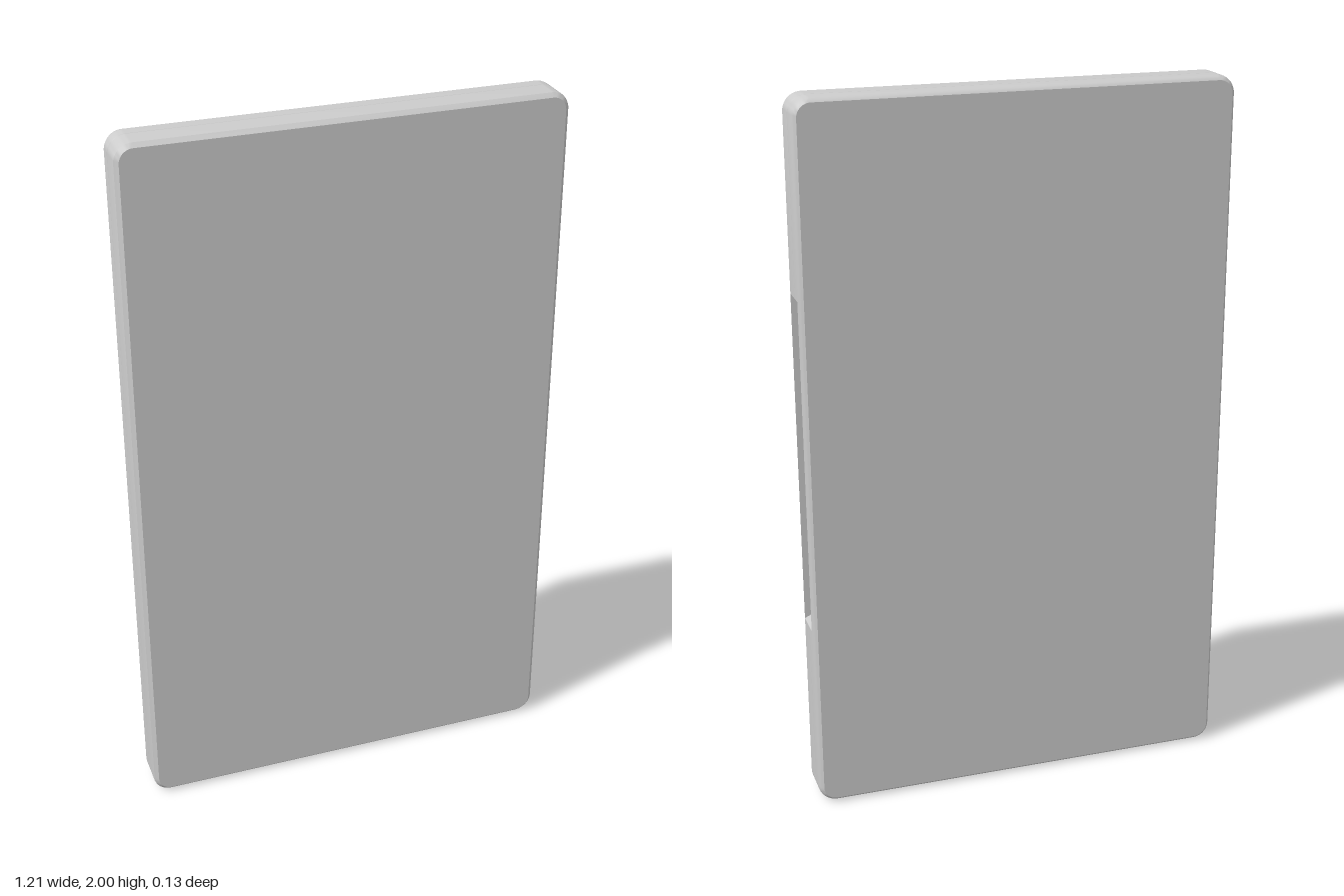
import * as THREE from 'three';
import { toCreasedNormals } from 'three/addons/utils/BufferGeometryUtils.js';

const HALF_W = 0.603, HEIGHT = 2, RADIUS = 0.05, ARC = 10;
const SLOT = { y0: 0.535, y1: 1.475, z0: -0.04, z1: 0.047, depth: 0.045, slope: 0.02 };

// Rounded-rectangle outline, counter-clockwise, shrunk by an inset.
// The two slot corners are added on the +x edge, after the first corner arc.
function outline(inset) {
  const cx = HALF_W - RADIUS, low = RADIUS, high = HEIGHT - RADIUS, r = RADIUS - inset;
  const pts = [];
  [[cx, low], [cx, high], [-cx, high], [-cx, low]].forEach(([x, y], corner) => {
    for (let i = 0; i <= ARC; i++) {
      const a = (corner - 1 + i / ARC) * Math.PI / 2;
      pts.push(new THREE.Vector2(x + r * Math.cos(a), y + r * Math.sin(a)));
    }
    if (corner === 0) {
      for (const sy of [SLOT.y0, SLOT.y1]) pts.push(new THREE.Vector2(HALF_W - inset, sy));
    }
  });
  return pts;
}

function meshFrom(name, positions, index, material, crease) {
  const g = new THREE.BufferGeometry();
  g.setAttribute('position', new THREE.Float32BufferAttribute(positions, 3));
  g.setIndex(index);
  const mesh = new THREE.Mesh(toCreasedNormals(g, crease), material);
  mesh.name = name;
  return mesh;
}

export function createModel() {
  const group = new THREE.Group();
  group.name = 'slab';
  const material = new THREE.MeshStandardMaterial({ color: 0xcccccc });

  // Edge profile from back to front: [z, inset]
  const profile = [
    [-0.065, 0.012], [-0.061, 0.007], [-0.055, 0.0035], [-0.048, 0.001], [SLOT.z0, 0],
    [-0.0115, 0], [-0.01, 0.0015], [-0.0085, 0], // seam between the two shells
    [SLOT.z1, 0], [0.052, 0.001], [0.063, 0.012],
  ];

  // Side shell, leaving the slot opening free
  const pos = [], idx = [];
  const loops = profile.map(([z, inset]) => {
    const pts = outline(inset);
    pts.forEach(p => pos.push(p.x, p.y, z));
    return pts;
  });
  const n = loops[0].length, slotSegment = ARC + 1;
  for (let k = 0; k < profile.length - 1; k++) {
    const inSlot = profile[k][0] >= SLOT.z0 && profile[k + 1][0] <= SLOT.z1;
    for (let i = 0; i < n; i++) {
      if (inSlot && i === slotSegment) continue;
      const j = (i + 1) % n;
      const a = k * n + i, b = k * n + j, c = b + n, d = a + n;
      idx.push(a, b, c, a, c, d);
    }
  }
  group.add(meshFrom('sideShell', pos, idx, material, 0.45));

  // Flat front and back panels
  for (const [name, end] of [['frontPanel', profile.length - 1], ['backPanel', 0]]) {
    const panel = new THREE.Mesh(new THREE.ShapeGeometry(new THREE.Shape(loops[end])), material);
    panel.name = name;
    if (end === 0) panel.rotation.y = Math.PI;
    panel.position.z = profile[end][0];
    group.add(panel);
  }

  // Recessed slot in the +x side, with sloping ends
  const { y0, y1, z0, z1, depth, slope } = SLOT;
  const rim = [[y0, z0], [y1, z0], [y1, z1], [y0, z1]];
  const slotPos = [], slotIdx = [4, 5, 6, 4, 6, 7];
  rim.forEach(([y, z]) => slotPos.push(HALF_W, y, z));
  rim.forEach(([y, z]) => slotPos.push(HALF_W - depth, y + (y === y0 ? slope : -slope), z));
  for (let i = 0; i < 4; i++) {
    const j = (i + 1) % 4;
    slotIdx.push(i, j, j + 4, i, j + 4, i + 4);
  }
  group.add(meshFrom('sideSlot', slotPos, slotIdx, material, 0.3));

  return group;
}
